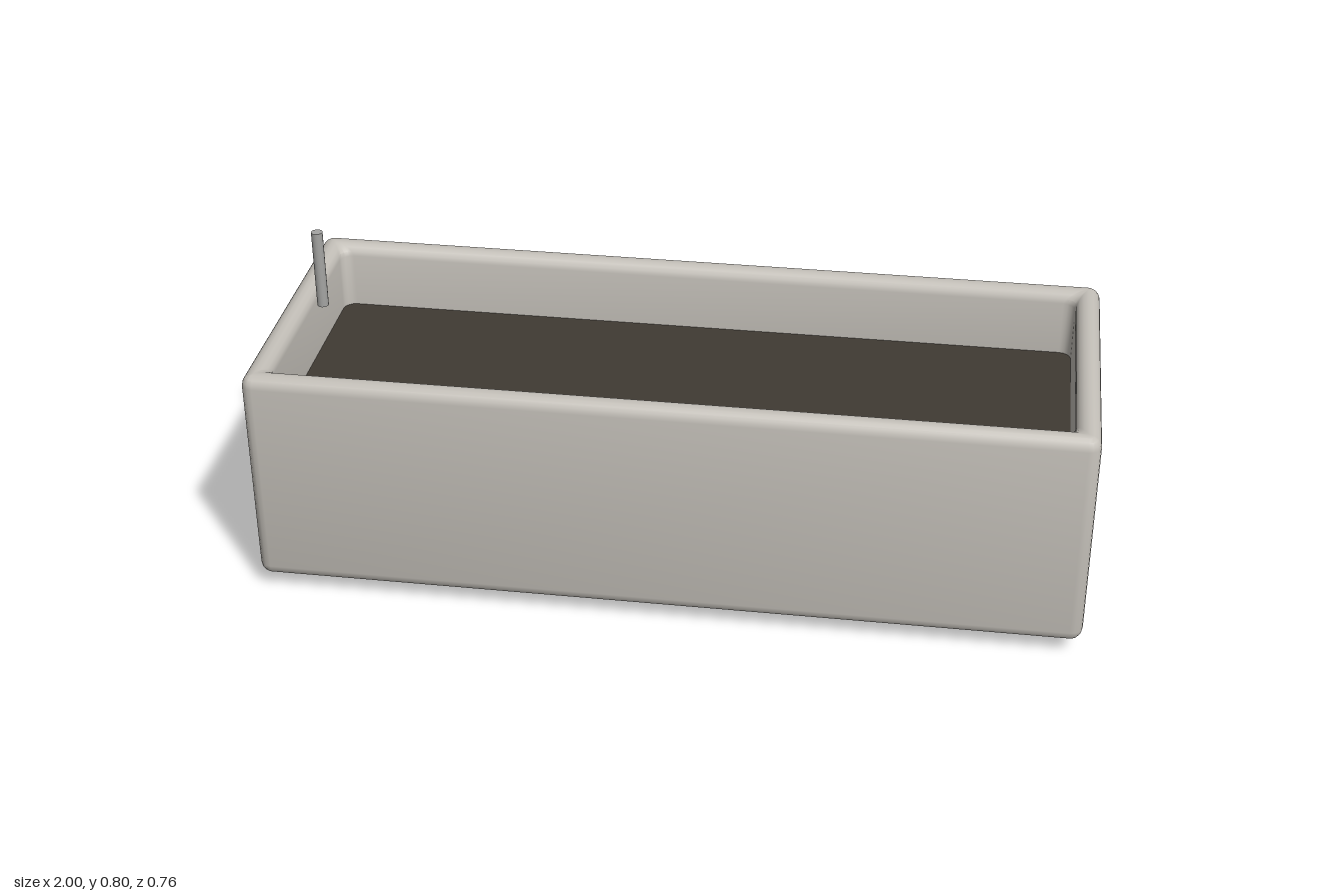
import * as THREE from 'three';
import { toCreasedNormals } from 'three/addons/utils/BufferGeometryUtils.js';

const HX = 1, HZ = 0.38, R = 0.03;   // half length, half depth, edge radius
const BOTTOM = 0.04, TOP = 0.6, SOIL = 0.43;
const STEPS = 4;                     // segments per rounded corner

// Rounded rectangle, inset from the outer walls, as [x, z] points
function loop(inset, r) {
  const points = [];
  const corners = [[1, 1], [-1, 1], [-1, -1], [1, -1]];
  corners.forEach(([sx, sz], c) => {
    for (let i = 0; i <= STEPS; i++) {
      const a = (c + i / STEPS) * Math.PI / 2;
      points.push([
        sx * (HX - inset - r) + r * Math.cos(a),
        sz * (HZ - inset - r) + r * Math.sin(a),
      ]);
    }
  });
  return points;
}

// Walls, rounded rim and underside lofted through stacked loops
function boxGeometry() {
  const rings = [[HZ - 0.001, BOTTOM, 0.0005]];
  const arc = (y, from, to) => {
    for (let i = 0; i <= STEPS; i++) {
      const a = from + (to - from) * i / STEPS;
      const inset = R - R * Math.cos(a);
      rings.push([inset, y + R * Math.sin(a), Math.max(Math.abs(R - inset), 0.002)]);
    }
  };
  arc(BOTTOM + R, -Math.PI / 2, 0);  // bottom edge
  arc(TOP - R, 0, Math.PI / 2);      // outer half of the rim
  arc(TOP - R, Math.PI / 2, Math.PI); // inner half of the rim
  rings.push([2 * R, SOIL - 0.02, R]);

  const n = 4 * (STEPS + 1), position = [], index = [];
  for (const [inset, y, r] of rings) {
    for (const [x, z] of loop(inset, r)) position.push(x, y, z);
  }
  for (let j = 0; j < rings.length - 1; j++) {
    for (let i = 0; i < n; i++) {
      const a = j * n + i, b = j * n + (i + 1) % n;
      index.push(a, a + n, b, b, a + n, b + n);
    }
  }
  const geometry = new THREE.BufferGeometry();
  geometry.setAttribute('position', new THREE.Float32BufferAttribute(position, 3));
  geometry.setIndex(index);
  return toCreasedNormals(geometry, 0.6);
}

export function createModel() {
  const group = new THREE.Group();
  const material = (name, color) => {
    const m = new THREE.MeshStandardMaterial({ color });
    m.name = name;
    return m;
  };
  const stone = material('warm grey stone', 0xc4c0b9);
  const earth = material('dark soil', 0x403a33);
  const steel = material('grey steel', 0xa5a5a3);
  const brass = material('brass', 0xb39d6e);

  const add = (name, geometry, mat, x = 0, y = 0, z = 0) => {
    const mesh = new THREE.Mesh(geometry, mat);
    mesh.name = name;
    mesh.position.set(x, y, z);
    group.add(mesh);
    return mesh;
  };

  const box = add('planterBox', boxGeometry(), stone);
  box.material.side = THREE.DoubleSide;

  // Soil surface filling the inner opening
  const outline = new THREE.Shape(loop(2 * R, R).map(([x, z]) => new THREE.Vector2(x, z)));
  const soil = new THREE.ShapeGeometry(outline).rotateX(-Math.PI / 2);
  add('soil', soil, earth, 0, SOIL, 0);

  // Water level rod at the right end
  add('levelRod', new THREE.CylinderGeometry(0.014, 0.014, 0.2, 16), steel, -0.9, 0.7, 0);

  // Flattened ball feet
  const foot = new THREE.SphereGeometry(0.05, 24, 16).scale(1, 0.8, 1);
  for (const x of [-0.85, 0.85]) {
    for (const z of [-0.28, 0.28]) add('foot', foot, brass, x, 0.04, z);
  }
  return group;
}
